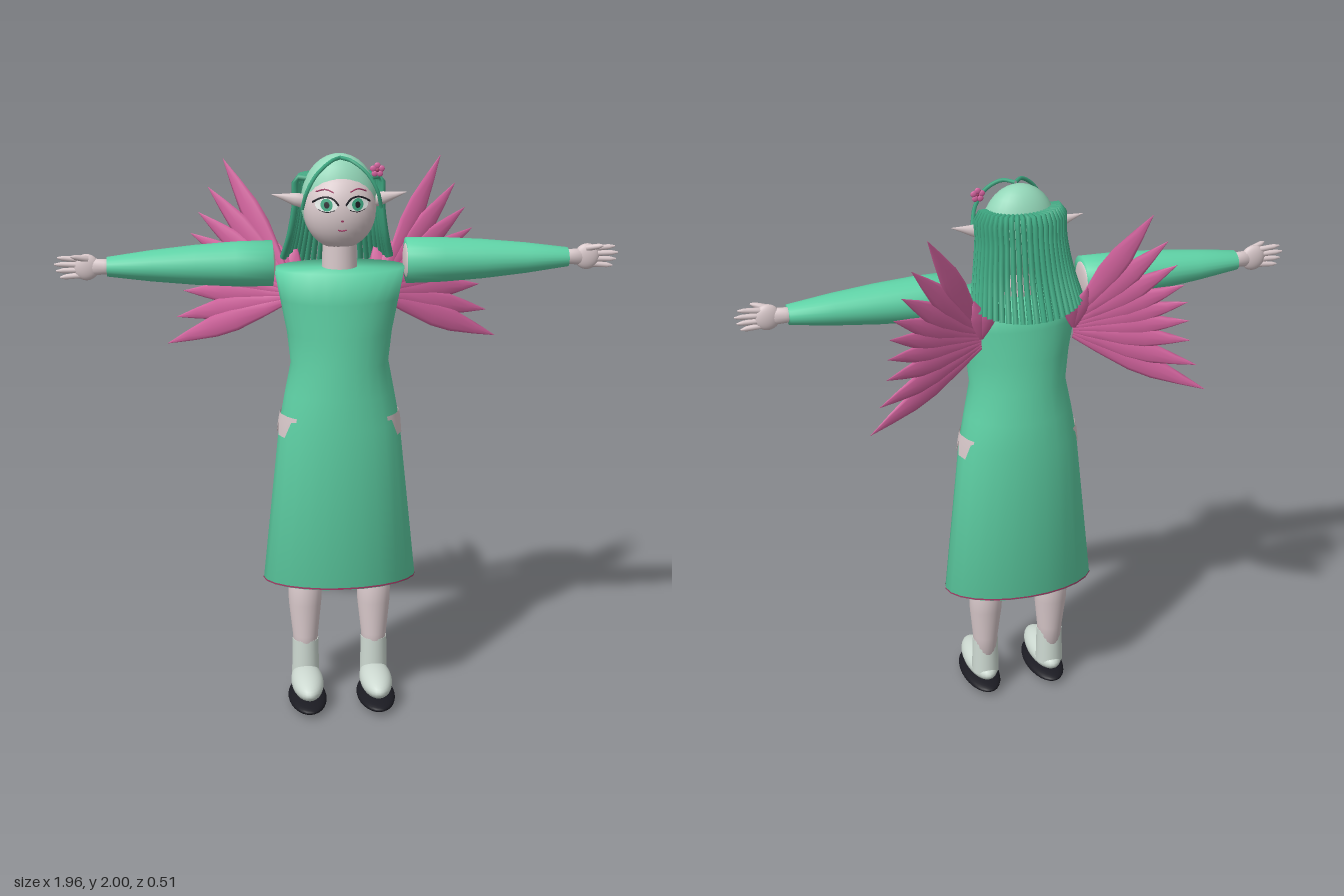
import * as THREE from 'three';

const mat = (name, color, side = THREE.FrontSide) => {
  const m = new THREE.MeshStandardMaterial({ color, side });
  m.name = name;
  return m;
};
const V = (x, y, z) => new THREE.Vector3(x, y, z);

// Closed smooth loft of elliptical sections [y, radiusX, radiusZ, centreZ]
function loft(sections, n = 24) {
  const pos = [], idx = [];
  for (const [y, rx, rz, cz = 0] of sections)
    for (let j = 0; j < n; j++) {
      const a = (j / n) * Math.PI * 2;
      pos.push(Math.cos(a) * rx, y, Math.sin(a) * rz + cz);
    }
  const last = sections.length - 1, c0 = sections.length * n, c1 = c0 + 1;
  pos.push(0, sections[0][0], sections[0][3] ?? 0, 0, sections[last][0], sections[last][3] ?? 0);
  for (let j = 0; j < n; j++) {
    const k = (j + 1) % n;
    for (let i = 0; i < last; i++) {
      const a = i * n + j, b = a + n, c = i * n + k, d = c + n;
      idx.push(a, b, c, c, b, d);
    }
    idx.push(c0, j, k, c1, last * n + k, last * n + j);
  }
  const g = new THREE.BufferGeometry();
  g.setAttribute('position', new THREE.Float32BufferAttribute(pos, 3));
  g.setIndex(idx);
  g.computeVertexNormals();
  return g;
}

const tube = (pts, r, segs = 10, sides = 6) =>
  new THREE.TubeGeometry(new THREE.CatmullRomCurve3(pts), segs, r, sides);

// Face ellipsoid, also used to lay the features on its surface
const FACE = { c: V(0, 1.81, 0.03), r: V(0.125, 0.135, 0.095) };
const faceZ = (x, y) => FACE.c.z + FACE.r.z *
  Math.sqrt(Math.max(0, 1 - (x / FACE.r.x) ** 2 - ((y - FACE.c.y) / FACE.r.y) ** 2));
const onFace = (x, y, lift = 0.002) => V(x, y, faceZ(x, y) + lift);

function faceDisc(cx, cy, rx, ry, lift) {
  const g = new THREE.CircleGeometry(1, 24), p = g.attributes.position;
  for (let i = 0; i < p.count; i++) {
    const x = cx + p.getX(i) * rx, y = cy + p.getY(i) * ry;
    p.setXYZ(i, x, y, faceZ(x, y) + lift);
  }
  g.computeVertexNormals();
  return g;
}

export function createModel() {
  const model = new THREE.Group();
  const dress = mat('dress green', 0x5fd2a6);
  const pale = mat('pale hair green', 0x93d6b8);
  const hair = mat('strand green', 0x3fa882);
  const skin = mat('skin', 0xd8c8ca, THREE.DoubleSide);
  const pink = mat('feather pink', 0xd4649f);
  const trim = mat('trim pink', 0xa63c68);
  const shoe = mat('shoe grey', 0xcdd9d1);
  const dark = mat('dark', 0x1b1b22);
  const white = mat('eye white', 0xeef4f0);

  const add = (name, geo, m, p, parent = model) => {
    const o = new THREE.Mesh(geo, m);
    o.name = name;
    if (p) o.position.copy(p);
    parent.add(o);
    return o;
  };
  const ball = (name, m, c, r, parent = model) => {
    const o = add(name, new THREE.SphereGeometry(1, 28, 18), m, c, parent);
    o.scale.copy(r);
    return o;
  };
  const aim = (o, dir) => o.quaternion.setFromUnitVectors(V(0, 1, 0), dir.clone().normalize());

  // Dress
  const body = [
    [0.46, 0.274, 0.148, 0.016], [1.05, 0.213, 0.148, 0.016], [1.16, 0.193, 0.146, 0.016],
    [1.27, 0.172, 0.134, 0.021], [1.38, 0.184, 0.13, 0.023], [1.5, 0.207, 0.123, 0.026],
    [1.61, 0.228, 0.117, 0.027],
  ];
  add('dress', loft(body), dress);
  const hem = new THREE.CylinderGeometry(1, 1, 0.006, 24, 1, true);
  hem.scale(0.2755, 1, 0.1495);
  add('hem', hem, trim, V(0, 0.465, 0.016));

  // Side cut-outs following the skirt surface
  const cut = [[0.115, 1.075], [0.1, 1.07], [0.082, 1.01], [0.045, 1.01], [0.024, 1.06],
    [0.005, 1.01], [-0.035, 1.01], [-0.05, 1.07], [-0.06, 1.078]];
  const skirtX = (z, y) => {
    const rx = y < 1.05 ? 0.274 - (y - 0.46) * 0.1034 : 0.213 - (y - 1.05) * 0.182;
    return rx * Math.sqrt(1 - ((z - 0.016) / 0.148) ** 2) + 0.005;
  };
  for (const s of [1, -1]) {
    const pos = [], idx = [];
    cut.forEach(([z, low], i) => {
      for (const y of [1.088, Math.max(low, 1.05), low]) pos.push(s * skirtX(z, y), y, z);
      if (i) for (const k of [0, 1]) {
        const a = i * 3 - 3 + k, b = a + 3;
        idx.push(...(s > 0 ? [a, a + 1, b, b, a + 1, b + 1] : [a, b, a + 1, b, b + 1, a + 1]));
      }
    });
    const g = new THREE.BufferGeometry();
    g.setAttribute('position', new THREE.Float32BufferAttribute(pos, 3));
    g.setIndex(idx);
    g.computeVertexNormals();
    add('sideCutout', g, skin);
  }

  // Head and neck
  add('neck', new THREE.CylinderGeometry(0.056, 0.062, 0.16, 24), skin, V(0, 1.67, 0.015));
  ball('face', skin, FACE.c, FACE.r);
  ball('hairCap', pale, V(0, 1.835, 0.002), V(0.132, 0.165, 0.092));
  add('nose', faceDisc(0, 1.79, 0.005, 0.004, 0.003), trim);
  add('mouth', tube([onFace(-0.015, 1.758), onFace(0, 1.755), onFace(0.015, 1.758)], 0.0025), trim);

  for (const s of [1, -1]) {
    // Eyes, lashes and brows
    const ex = s * 0.053, ey = 1.845;
    add('eyeWhite', faceDisc(ex, ey, 0.038, 0.023, 0.003), white);
    add('iris', faceDisc(ex, ey, 0.02, 0.021, 0.005), hair);
    add('pupil', faceDisc(ex, ey, 0.009, 0.011, 0.007), dark);
    add('upperLash', tube([onFace(s * 0.012, 1.843), onFace(s * 0.03, 1.864), onFace(s * 0.055, 1.87),
      onFace(s * 0.08, 1.862), onFace(s * 0.098, 1.85)], 0.0035), dark);
    add('lowerLash', tube([onFace(s * 0.025, 1.827), onFace(ex, 1.82), onFace(s * 0.08, 1.828)], 0.0015), dark);
    add('brow', tube([onFace(s * 0.028, 1.885), onFace(s * 0.055, 1.894), onFace(s * 0.086, 1.884)], 0.0025), trim);

    // Pointed ears
    const ear = add('ear', loft([[0, 0.026, 0.02], [0.04, 0.022, 0.016], [0.08, 0.011, 0.008], [0.12, 0.001, 0.001]], 14),
      skin, V(s * 0.115, 1.838, 0.015));
    aim(ear, V(s * 0.112, 0.025, 0));

    // Fringe strands parted at the crown
    add('fringe', tube([V(0, 1.992, 0.04), V(s * 0.035, 1.988, 0.085), V(s * 0.085, 1.95, 0.112),
      V(s * 0.12, 1.89, 0.118), V(s * 0.135, 1.83, 0.1)], 0.007, 16), hair);
  }

  // Long strands fanned around the back of the head
  const count = 25;
  for (let i = 0; i < count; i++) {
    const a = (i / (count - 1) - 0.5) * Math.PI, x = Math.sin(a), z = -Math.cos(a);
    add('hairStrand', tube([
      V(x * 0.11, 1.915, z * 0.075), V(x * 0.147, 1.915, z * 0.1 - 0.008), V(x * 0.152, 1.82, z * 0.115 - 0.015),
      V(x * 0.168, 1.71, z * 0.115 - 0.04), V(x * 0.19, 1.62 + 0.04 * z, z * 0.125 - 0.085)], 0.01, 12, 6), hair);
  }

  // Hair flower
  const flower = new THREE.Group();
  flower.name = 'flower';
  flower.position.set(0.125, 1.952, 0.064);
  model.add(flower);
  for (let i = 0; i < 5; i++) {
    const a = (i / 5) * Math.PI * 2 + Math.PI / 2;
    ball('petal', pink, V(Math.cos(a) * 0.015, Math.sin(a) * 0.015, 0), V(0.011, 0.011, 0.005), flower);
  }
  ball('flowerCentre', trim, V(0, 0, 0.003), V(0.007, 0.007, 0.005), flower);

  // Wing feathers: tip x and y, all meeting behind the shoulder blade
  const tips = [[0.386, 1.94], [0.44, 1.84], [0.476, 1.75], [0.505, 1.675], [0.52, 1.61],
    [0.528, 1.54], [0.534, 1.466], [0.56, 1.37], [0.595, 1.272]];
  const feather = loft([[0, 0.01, 0.005], [0.2, 0.026, 0.008], [0.45, 0.041, 0.011], [0.62, 0.038, 0.01],
    [0.82, 0.02, 0.006], [1, 0.0008, 0.0008]], 8);
  for (const s of [1, -1]) {
    const wing = new THREE.Group();
    wing.name = s > 0 ? 'leftWing' : 'rightWing';
    model.add(wing);
    tips.forEach(([tx, ty], i) => {
      const root = V(s * 0.165, 1.53 - i * 0.008, -0.095);
      const dir = V(s * tx, ty, -0.254).sub(root), len = dir.length();
      const f = add('feather', feather, pink, root, wing);
      dir.normalize();
      const side = new THREE.Vector3().crossVectors(dir, V(s * 0.37, 0, 0.93)).normalize();
      const normal = new THREE.Vector3().crossVectors(side, dir);
      f.quaternion.setFromRotationMatrix(new THREE.Matrix4().makeBasis(side, dir, normal));
      f.scale.set(1, len, 1);
    });
    // Small covert feathers above the shoulder
    for (const [tx, ty] of [[0.14, 1.655], [0.2, 1.66]]) {
      const f = add('covertFeather', feather, pink, V(s * 0.165, 1.5, -0.1), wing);
      const d = V(s * tx, ty, -0.14).sub(f.position);
      aim(f, d);
      f.scale.set(0.8, d.length(), 1);
    }
  }

  // Arms, hands, legs and shoes
  const sleeve = loft([[0.232, 0.079, 0.085], [0.36, 0.077, 0.084], [0.5, 0.068, 0.076],
    [0.65, 0.053, 0.062], [0.8, 0.033, 0.043]]);
  for (const s of [1, -1]) {
    const arm = new THREE.Group();
    arm.name = s > 0 ? 'leftArm' : 'rightArm';
    arm.position.set(0, 1.624, 0.014);
    model.add(arm);
    add('sleeve', sleeve, dress, null, arm).rotation.z = -s * Math.PI / 2;
    ball('shoulder', skin, V(s * 0.234, 0, 0), V(0.012, 0.06, 0.065), arm);
    add('wrist', loft([[0.78, 0.026, 0.024], [0.81, 0.027, 0.022], [0.85, 0.03, 0.018]], 16), skin, null, arm)
      .rotation.z = -s * Math.PI / 2;
    ball('palm', skin, V(s * 0.869, 0, 0), V(0.044, 0.046, 0.02), arm);
    for (let i = 0; i < 4; i++) {
      const t = i - 1.5, reach = 0.982 - Math.abs(t - 0.3) * 0.012;
      const a = V(s * 0.885, t * 0.018, 0), d = V(s * reach, t * 0.023, 0).sub(a);
      aim(add('finger', loft([[0, 0.011, 0.011], [d.length() * 0.75, 0.009, 0.008], [d.length(), 0.003, 0.003]], 10),
        skin, a, arm), d);
    }
    aim(add('thumb', loft([[0, 0.012, 0.011], [0.045, 0.009, 0.009], [0.06, 0.003, 0.003]], 10),
      skin, V(s * 0.865, 0.03, 0.008), arm), V(s * 0.9, 0.22, 0.3));

    const leg = new THREE.Group();
    leg.name = s > 0 ? 'leftLeg' : 'rightLeg';
    leg.position.x = s * 0.125;
    model.add(leg);
    add('shin', loft([[0.15, 0.042, 0.046, 0.021], [0.24, 0.046, 0.05, 0.02], [0.36, 0.059, 0.058, 0.012],
      [0.5, 0.064, 0.064, 0.008]]), skin, null, leg);
    add('ankleCuff', new THREE.CylinderGeometry(0.047, 0.05, 0.14, 24), shoe, V(0, 0.152, 0.022), leg);
    ball('shoe', shoe, V(0, 0.083, 0.102), V(0.058, 0.046, 0.144), leg);
    ball('sole', dark, V(0, 0.024, 0.103), V(0.069, 0.024, 0.153), leg);
  }
  return model;
}
